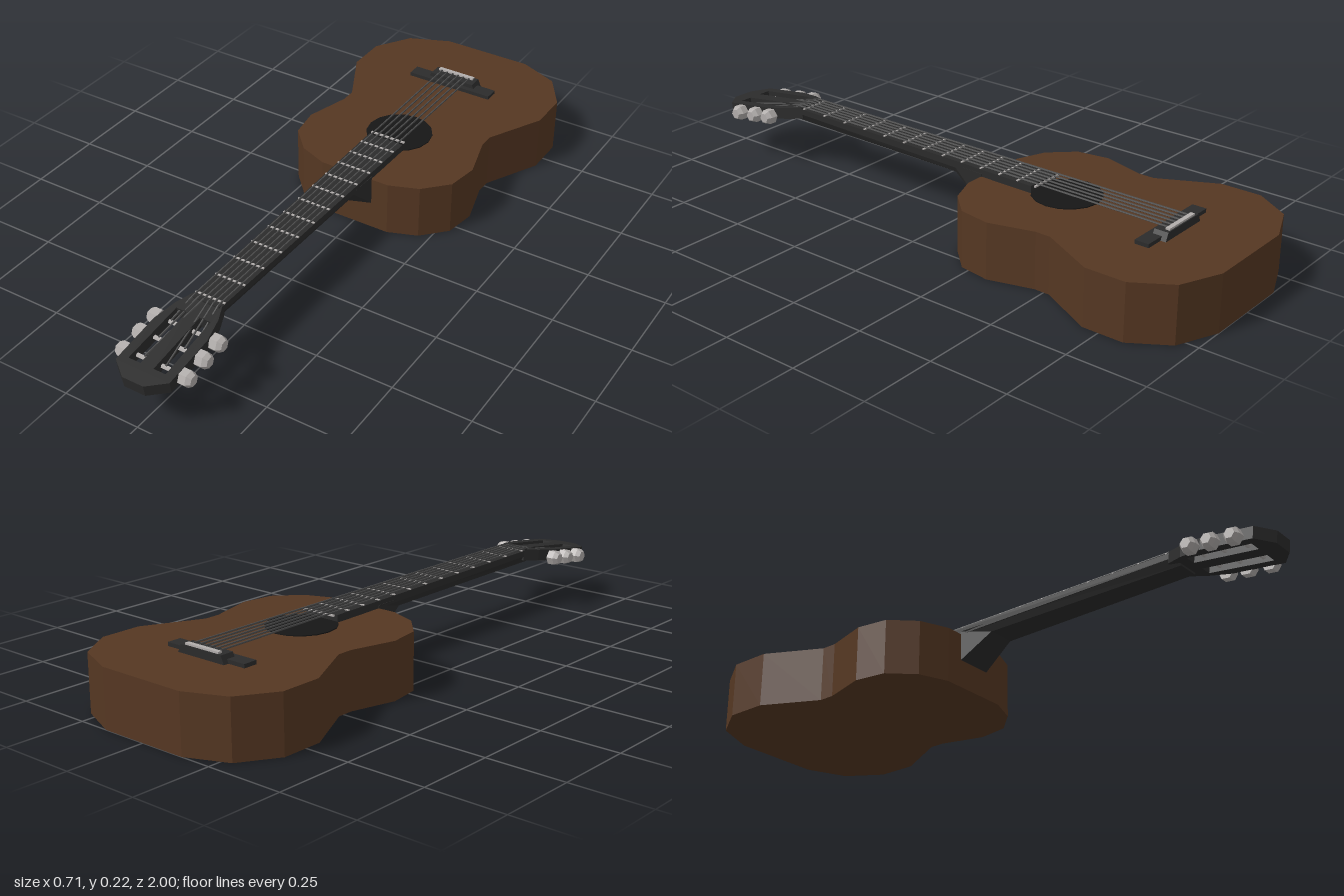
import * as THREE from 'three';

const mat = (name, color) => {
  const m = new THREE.MeshStandardMaterial({ color });
  m.name = name;
  return m;
};

export function createModel() {
  const wood = mat('brown wood', 0x553722);
  const black = mat('black wood', 0x2b2b2b);
  const dark = mat('hole black', 0x161616);
  const steel = mat('string steel', 0x4c4c4c);
  const silver = mat('silver', 0xb2aeac);

  const guitar = new THREE.Group();
  guitar.name = 'guitar';
  const add = (name, geo, material, parent = guitar) => {
    const g = geo.index ? geo.toNonIndexed() : geo;
    g.computeVertexNormals();
    const mesh = new THREE.Mesh(g, material);
    mesh.name = name;
    parent.add(mesh);
    return mesh;
  };
  const box = (name, w, h, d, x, y, z, material, parent) => {
    const m = add(name, new THREE.BoxGeometry(w, h, d), material, parent);
    m.position.set(x, y, z);
    return m;
  };
  const V = (x, y, z) => new THREE.Vector3(x, y, z);
  // thin rod between two points
  const rod = (name, a, b, r, material, sides = 5) => {
    const dir = b.clone().sub(a);
    const m = add(name, new THREE.CylinderGeometry(r, r, dir.length(), sides), material);
    m.position.copy(a).add(b).multiplyScalar(0.5);
    m.quaternion.setFromUnitVectors(V(0, 1, 0), dir.normalize());
  };
  // mirrored outline lying flat, with its upper face at y = 0
  const slab = (half, depth, holes = []) => {
    const pts = [...half, ...half.map(([x, z]) => [-x, z]).reverse()];
    const toV2 = (list) => list.map(([x, z]) => new THREE.Vector2(x, z));
    const shape = new THREE.Shape(toV2(pts));
    holes.forEach((h) => shape.holes.push(new THREE.Path(toV2(h))));
    return new THREE.ExtrudeGeometry(shape, { depth, bevelEnabled: false }).rotateX(Math.PI / 2);
  };
  // four-cornered sections [z, top half width, bottom half width, top y, bottom y], front to back
  const loft = (rows) => {
    const pos = [];
    const idx = [];
    rows.forEach(([z, t, b, y1, y0]) => pos.push(-b, y0, z, b, y0, z, t, y1, z, -t, y1, z));
    for (let i = 0; i < rows.length - 1; i++) {
      for (let k = 0; k < 4; k++) {
        const a = i * 4 + k, c = i * 4 + (k + 1) % 4;
        idx.push(a, a + 4, c, c, a + 4, c + 4);
      }
    }
    const e = (rows.length - 1) * 4;
    idx.push(0, 1, 2, 0, 2, 3, e, e + 2, e + 1, e, e + 3, e + 2);
    const g = new THREE.BufferGeometry();
    g.setAttribute('position', new THREE.Float32BufferAttribute(pos, 3));
    g.setIndex(idx);
    return g;
  };

  // body and sound hole
  add('body', slab([
    [0.15, -1], [0.28, -0.945], [0.354, -0.83], [0.354, -0.698], [0.262, -0.518], [0.262, -0.468],
    [0.302, -0.325], [0.286, -0.222], [0.214, -0.146], [0.12, -0.11],
  ], 0.18), wood).position.y = 0.18;
  add('soundHole', new THREE.CylinderGeometry(0.108, 0.108, 0.004, 16), dark).position.set(0, 0.181, -0.387);

  // neck with heel, and fretboard
  add('neck', loft([
    [0.69, 0.05, 0.036, 0.19, 0.163], [0, 0.058, 0.046, 0.19, 0.162], [-0.112, 0.062, 0.062, 0.19, 0.09],
  ]), black);
  add('fretboard', loft([[0.69, 0.05, 0.05, 0.207, 0.188], [-0.3, 0.062, 0.062, 0.203, 0.179]]), black);
  let z = 0.65;
  for (let i = 0; i < 13; i++) {
    const t = (0.69 - z) / 0.99;
    box('fret', 0.1 + 0.022 * t, 0.005, 0.006, 0, 0.2075 - 0.004 * t, z, silver);
    z -= 0.094 - 0.0025 * i;
  }
  box('nut', 0.098, 0.008, 0.012, 0, 0.208, 0.672, black);

  // bridge
  box('bridge', 0.3, 0.012, 0.046, 0, 0.186, -0.744, black);
  add('tieBlock', loft([[-0.738, 0.078, 0.09, 0.205, 0.18], [-0.784, 0.078, 0.09, 0.205, 0.18]]), black);
  box('saddle', 0.13, 0.01, 0.014, 0, 0.206, -0.773, silver);

  // slotted, tilted headstock
  const head = new THREE.Group();
  head.name = 'headstock';
  head.position.set(0, 0.207, 0.69);
  head.rotation.x = 0.135;
  guitar.add(head);
  const slot = (s) => [[0.022 * s, 0.04], [0.058 * s, 0.04], [0.062 * s, 0.25], [0.022 * s, 0.25]];
  add('headPlate', slab([
    [0.05, -0.03], [0.073, 0.025], [0.09, 0.1], [0.09, 0.27], [0.035, 0.313],
  ], 0.037, [slot(1), slot(-1)]), black, head);

  // tuners
  const pegs = [0.076, 0.143, 0.217];
  const knobProfile = [[0, 0], [0.026, 0], [0.026, 0.024], [0.017, 0.038], [0, 0.038]]
    .map(([x, y]) => new THREE.Vector2(x, y));
  for (const s of [-1, 1]) {
    for (const d of pegs) {
      const post = add('tunerPost', new THREE.CylinderGeometry(0.007, 0.007, 0.085, 6), silver, head);
      post.rotation.z = Math.PI / 2;
      post.position.set(0.058 * s, -0.021, d);
      const knob = add('tunerKnob', new THREE.LatheGeometry(knobProfile, 6), silver, head);
      knob.rotation.z = -s * Math.PI / 2;
      knob.position.set(0.089 * s, -0.025, d);
    }
  }

  // strings, from bridge over nut to the posts
  head.updateMatrix();
  for (let i = 0; i < 6; i++) {
    const k = (i - 2.5) / 2.5;
    const s = Math.sign(k);
    const n = i < 3 ? i : 5 - i;
    const nut = V(k * 0.042, 0.213, 0.672);
    rod('string', V(k * 0.052, 0.208, -0.773), nut, 0.003, steel);
    rod('stringEnd', nut, V(s * (0.052 - n * 0.008), -0.014, pegs[n]).applyMatrix4(head.matrix), 0.003, steel);
  }
  return guitar;
}
